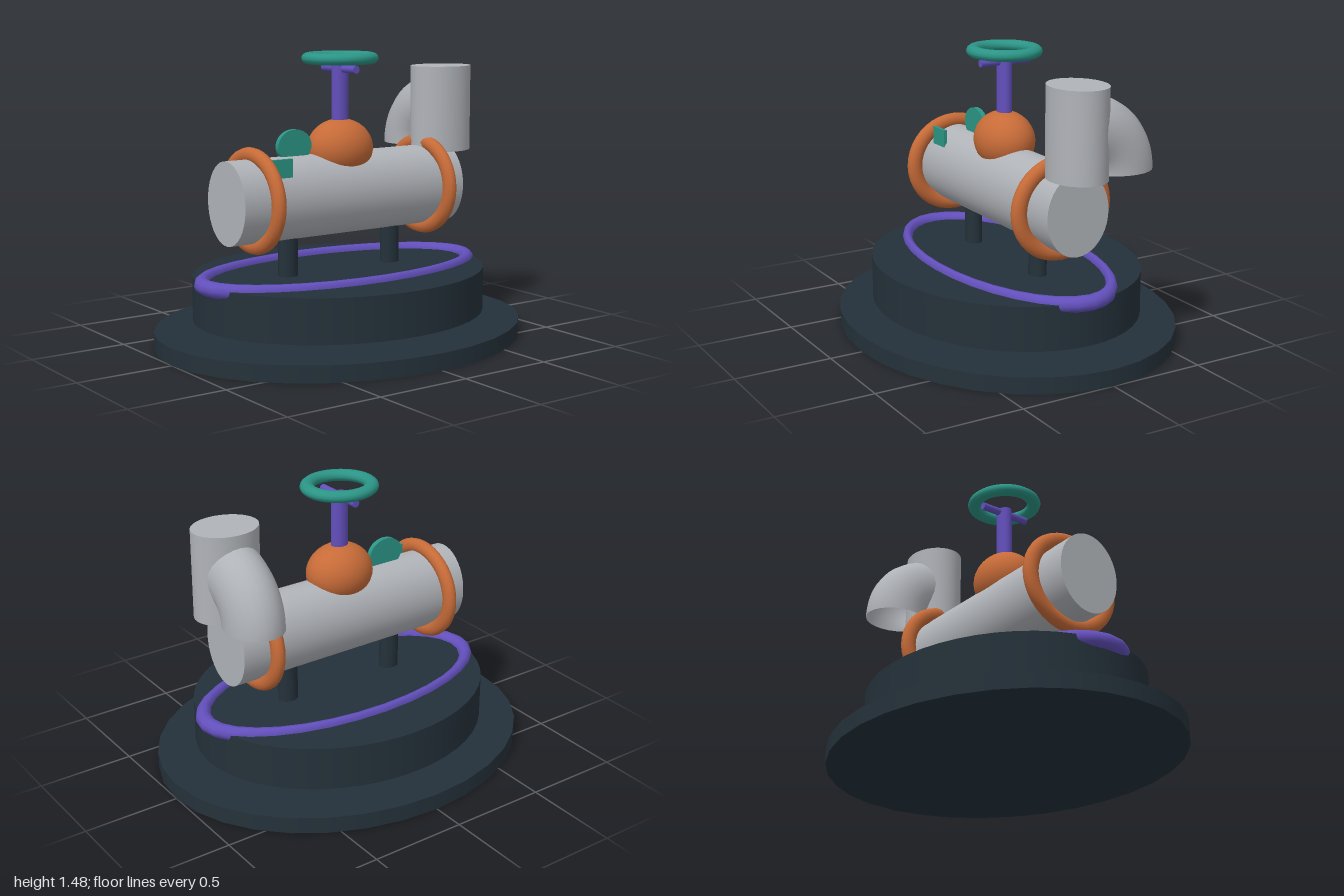
import * as THREE from 'three';

const mat = (name, color, side = THREE.FrontSide) => {
  const m = new THREE.MeshStandardMaterial({ color, side });
  m.name = name;
  return m;
};

export function createModel() {
  const model = new THREE.Group();
  const slate = mat('slate', 0x24313a);
  const grey = mat('pipeGrey', 0xb0b3b8, THREE.DoubleSide);
  const copper = mat('copper', 0xc76b38);
  const violet = mat('violet', 0x6350bd);
  const teal = mat('teal', 0x2b9586);
  const squash = 0.83; // depth ratio shared by most round parts

  const add = (name, geometry, material, x, y, z) => {
    const mesh = new THREE.Mesh(geometry, material);
    mesh.name = name;
    mesh.position.set(x, y, z);
    model.add(mesh);
    return mesh;
  };
  // Upright oval cylinder between two heights
  const column = (name, r, y0, y1, material, x = 0, sides = 32) =>
    add(name, new THREE.CylinderGeometry(r, r, y1 - y0, sides).scale(1, 1, squash),
      material, x, (y0 + y1) / 2, 0);

  // Stepped oval base on two posts
  column('basePlate', 1, 0, 0.085, slate);
  column('plinth', 0.795, 0.133, 0.36, slate, 0, 48);
  for (const s of [-1, 1]) column('post', 0.053, 0.05, 0.62, slate, s * 0.323, 24);

  // Long oval hoop resting on the plinth
  add('floorHoop', new THREE.TorusGeometry(0.797, 0.043, 10, 32)
    .rotateX(Math.PI / 2).scale(1, 0.92, 0.49), violet, 0, 0.354, 0);

  // Main horizontal pipe with two clamp rings
  add('mainPipe', new THREE.CylinderGeometry(0.21, 0.21, 1.365, 40)
    .rotateZ(Math.PI / 2).scale(1, 1, squash), grey, 0, 0.758, 0);
  for (const s of [-1, 1]) {
    add('clampRing', new THREE.TorusGeometry(0.24, 0.041, 12, 40)
      .rotateY(Math.PI / 2).scale(squash, 0.95, 1), copper, s * 0.533, 0.76, 0);
  }

  // Valve: dome, stem, crossbar and handwheel
  add('valveDome', new THREE.SphereGeometry(0.18, 32, 20).scale(1, 0.84, squash),
    copper, 0, 0.988, 0);
  column('valveStem', 0.045, 1.05, 1.41, violet, 0, 20);
  add('crossbar', new THREE.CylinderGeometry(0.02, 0.02, 0.28, 16).rotateX(Math.PI / 2),
    violet, 0, 1.393, 0);
  add('handwheel', new THREE.TorusGeometry(0.163, 0.037, 12, 40)
    .rotateX(Math.PI / 2).scale(1, 0.8, 0.95), teal, 0, 1.446, 0);

  // Outlet stack with a rear elbow turned downward
  column('outletStack', 0.171, 0.935, 1.386, grey, 0.664, 40);
  add('elbow', new THREE.TorusGeometry(0.218, 0.17, 24, 20, Math.PI / 2)
    .rotateY(Math.PI / 2).scale(0.85, 1, 1), grey, 0.667, 0.952, -0.022);

  // Gauge disc on top of the pipe and tag on its front
  add('gaugeDisc', new THREE.CylinderGeometry(0.1, 0.1, 0.026, 32)
    .rotateX(Math.PI / 2).scale(1, squash, 1), teal, -0.286, 1.017, 0);
  add('tag', new THREE.BoxGeometry(0.12, 0.095, 0.018), teal, -0.445, 0.926, 0.132);

  return model;
}
